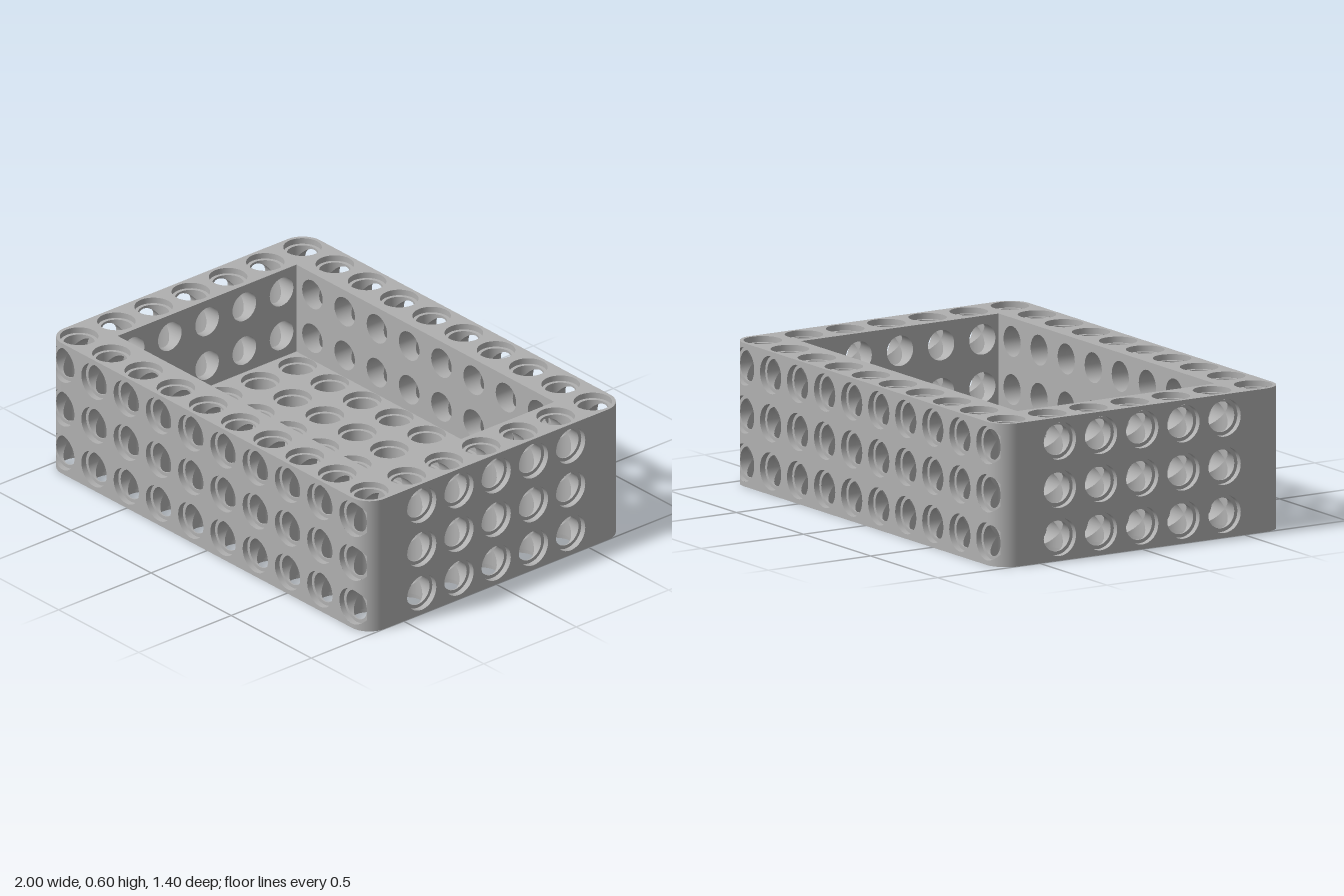
import * as THREE from 'three';
import { mergeGeometries } from 'three/addons/utils/BufferGeometryUtils.js';

const P = 0.2014;                 // hole pitch
const R = 0.064, R2 = 0.079;      // bore and counterbore radii
const E = 0.094;                  // edge margin = corner radius
const XC = 4.5 * P, ZC = 3 * P;   // centres of the outermost holes
const H = 0.6, FLOOR = 0.2;       // height, floor thickness
const IX = 0.805, IZ = 0.483;     // cavity half sizes
const N = 32;
const drop = (dx) => E - Math.sqrt(Math.max(0, E * E - dx * dx));
const D = drop(R);                // counterbore depth
const rows = [-1, 0, 1].map((k) => H / 2 + k * P);
const line = (n) => Array.from({ length: n }, (_, i) => (i - (n - 1) / 2) * P);
const cols = line(10), lanes = line(7);

// Surface from quads whose corners are [position, normal], counterclockwise
function surface(quads) {
  const pos = [], nor = [];
  for (const q of quads) for (const i of [0, 1, 2, 0, 2, 3]) { pos.push(...q[i][0]); nor.push(...q[i][1]); }
  const g = new THREE.BufferGeometry();
  g.setAttribute('position', new THREE.Float32BufferAttribute(pos, 3));
  g.setAttribute('normal', new THREE.Float32BufferAttribute(nor, 3));
  return g;
}

// Inward-facing bore along z, with ends that vary around the circle
function bore(r, lo, hi) {
  const quads = [];
  const pt = (t, f) => [[r * Math.cos(t), r * Math.sin(t), f(t)], [-Math.cos(t), -Math.sin(t), 0]];
  for (let i = 0; i < N; i++) {
    const a = (i / N) * 2 * Math.PI, b = ((i + 1) / N) * 2 * Math.PI;
    quads.push([pt(a, lo), pt(a, hi), pt(b, hi), pt(b, lo)]);
  }
  return surface(quads);
}

function plain(g) {
  const n = g.index ? g.toNonIndexed() : g;
  n.deleteAttribute('uv');
  return n;
}
const flat = (shape) => plain(new THREE.ShapeGeometry(shape, N / 2));
const disc = () => plain(new THREE.CircleGeometry(R, N));
const ring = () => plain(new THREE.RingGeometry(R, R2, N));

function addHole(shape, x, y, r) {
  shape.holes.push(new THREE.Path().absarc(x, y, r, 0, Math.PI * 2, true));
}
function rect(hx, y0, y1) {
  return new THREE.Shape([[-hx, y0], [hx, y0], [hx, y1], [-hx, y1]].map((p) => new THREE.Vector2(...p)));
}
function roundedRect() {
  const s = new THREE.Shape();
  s.absarc(XC, ZC, E, 0, Math.PI / 2);
  s.absarc(-XC, ZC, E, Math.PI / 2, Math.PI);
  s.absarc(-XC, -ZC, E, Math.PI, Math.PI * 1.5);
  s.absarc(XC, -ZC, E, Math.PI * 1.5, Math.PI * 2);
  return s;
}

// Horizontal hole crossing the vertical one; side is +1 or -1 on rounded corners
function wallHole(depth, blind, side) {
  const cross = (t) => R * Math.abs(Math.sin(t));
  const parts = [
    bore(R, () => -depth, (t) => -cross(t)),
    bore(R, cross, () => E - D),
    bore(R2, () => E - D, (t) => E - Math.min(D, drop(Math.max(0, side * R2 * Math.cos(t))))),
  ];
  if (blind) parts.push(disc().translate(0, 0, -depth));
  if (side) {
    const phi = Math.acos(R / R2);
    const s = new THREE.Shape().absarc(0, 0, R2, phi, Math.PI * 2 - phi);
    addHole(s, 0, 0, R * 0.998);
    parts.push(flat(s).rotateZ(side > 0 ? 0 : Math.PI).translate(0, 0, E - D));
  } else parts.push(ring().translate(0, 0, E - D));
  return mergeGeometries(parts);
}

// Rounded vertical corner of the front wall, notched by its three holes
function corner(side) {
  const dxs = [];
  for (let i = 0; R2 * Math.sin((i * 2 * Math.PI) / N) < R; i++) dxs.push(R2 * Math.sin((i * 2 * Math.PI) / N));
  const angles = [...dxs, R].map((dx) => Math.asin(dx / E));
  const notched = angles.length - 1, last = angles[notched];
  for (let i = 1; i <= 8; i++) angles.push(last + (Math.PI / 2 - last) * (i / 8));
  const half = (a) => Math.sqrt(R2 * R2 - (E * Math.sin(a)) ** 2);
  const pt = (a, y) => {
    const n = [side * Math.sin(a), 0, Math.cos(a)];
    return [[side * XC + E * n[0], y, ZC + E * n[2]], n];
  };
  const quads = [];
  const add = (a, b, a0, b0, a1, b1) => {
    const q = [pt(a, a0), pt(b, b0), pt(b, b1), pt(a, a1)];
    quads.push(side > 0 ? q : q.reverse());
  };
  for (let i = 0; i + 1 < angles.length; i++) {
    const a = angles[i], b = angles[i + 1];
    if (i >= notched) { add(a, b, 0, 0, H, H); continue; }
    const ha = half(a), hb = half(b);
    for (let k = 0; k <= 3; k++) {
      const lo = rows[k - 1], hi = rows[k];
      add(a, b, k ? lo + ha : 0, k ? lo + hb : 0, k < 3 ? hi - ha : H, k < 3 ? hi - hb : H);
    }
  }
  return surface(quads);
}

// Long wall facing +z
function longWall() {
  const s = new THREE.Shape().moveTo(-XC, 0).lineTo(XC, 0);
  for (const y of rows) s.lineTo(XC, y - R2).absarc(XC, y, R2, -Math.PI / 2, Math.PI / 2, true);
  s.lineTo(XC, H).lineTo(-XC, H);
  for (const y of [...rows].reverse()) s.lineTo(-XC, y + R2).absarc(-XC, y, R2, Math.PI / 2, -Math.PI / 2, true);
  const inner = rect(IX, FLOOR, H), holes = [];
  cols.forEach((x, i) => rows.forEach((y, k) => {
    const side = i === 0 ? -1 : i === 9 ? 1 : 0, blind = side !== 0 || k === 0;
    if (!side) addHole(s, x, y, R2);
    if (!blind) addHole(inner, x, y, R);
    holes.push(wallHole(blind ? P / 2 : ZC - IZ, blind, side).translate(x, y, ZC));
  }));
  return {
    outerFace: mergeGeometries([flat(s).translate(0, 0, ZC + E), corner(1), corner(-1)]),
    innerFace: flat(inner).rotateY(Math.PI).translate(0, 0, IZ),
    holes: mergeGeometries(holes),
  };
}

// Short wall, built facing +z and later turned to face sideways
function shortWall() {
  const outer = rect(ZC, 0, H), inner = rect(IZ, FLOOR, H), holes = [];
  for (const z of lanes.slice(1, 6)) rows.forEach((y, k) => {
    addHole(outer, z, y, R2);
    if (k) addHole(inner, z, y, R);
    holes.push(wallHole(k ? XC - IX : P / 2, k === 0, 0).translate(z, y, XC));
  });
  return {
    outerFace: flat(outer).translate(0, 0, XC + E),
    innerFace: flat(inner).rotateY(Math.PI).translate(0, 0, IX),
    holes: mergeGeometries(holes),
  };
}

// Vertical hole from y = 0 to top, opened where horizontal holes cross it
function uprightHole(top, trim) {
  const parts = [
    bore(R2, () => 0, () => D), bore(R2, () => top - D, () => top),
    ring().rotateX(Math.PI).translate(0, 0, D), ring().translate(0, 0, top - D),
  ];
  if (!trim) parts.push(bore(R, () => D, () => top - D));
  else for (let k = 0; k <= 3; k++) {
    const cut = (t) => R * Math.abs(trim(t));
    parts.push(bore(R, (t) => (k ? rows[k - 1] + cut(t) : D), (t) => (k < 3 ? rows[k] - cut(t) : top - D)));
  }
  return mergeGeometries(parts).rotateX(-Math.PI / 2);
}

export function createModel() {
  const model = new THREE.Group();
  model.name = 'perforatedTray';
  const grey = new THREE.MeshStandardMaterial({ color: 0xb0b0b0 });
  grey.name = 'grey';
  const add = (parent, name, geometry) => {
    const m = new THREE.Mesh(geometry, grey);
    m.name = name;
    parent.add(m);
  };

  // Four walls, in opposite pairs
  const long = longWall(), short = shortWall();
  [['frontWall', long, 0], ['leftWall', short, 1], ['backWall', long, 2], ['rightWall', short, 3]].forEach(([name, wall, turn]) => {
    const g = new THREE.Group();
    g.name = name;
    g.rotation.y = (turn * Math.PI) / 2;
    for (const part in wall) add(g, part, wall[part]);
    model.add(g);
  });

  // Horizontal faces and upright holes
  const base = roundedRect(), rim = roundedRect(), floor = rect(IX, -IZ, IZ), holes = [];
  rim.holes.push(rect(IX, -IZ, IZ));
  cols.forEach((x, i) => lanes.forEach((z, j) => {
    const endLane = j === 0 || j === 6, endCol = i === 0 || i === 9;
    const trim = endLane ? Math.sin : endCol ? Math.cos : null;
    addHole(base, x, z, R2);
    addHole(trim ? rim : floor, x, z, R2);
    holes.push(uprightHole(trim ? H : FLOOR, trim).translate(x, 0, z));
  }));
  add(model, 'base', flat(base).rotateX(Math.PI / 2));
  add(model, 'rim', flat(rim).rotateX(-Math.PI / 2).translate(0, H, 0));
  add(model, 'floor', flat(floor).rotateX(-Math.PI / 2).translate(0, FLOOR, 0));
  add(model, 'uprightHoles', mergeGeometries(holes));
  return model;
}
